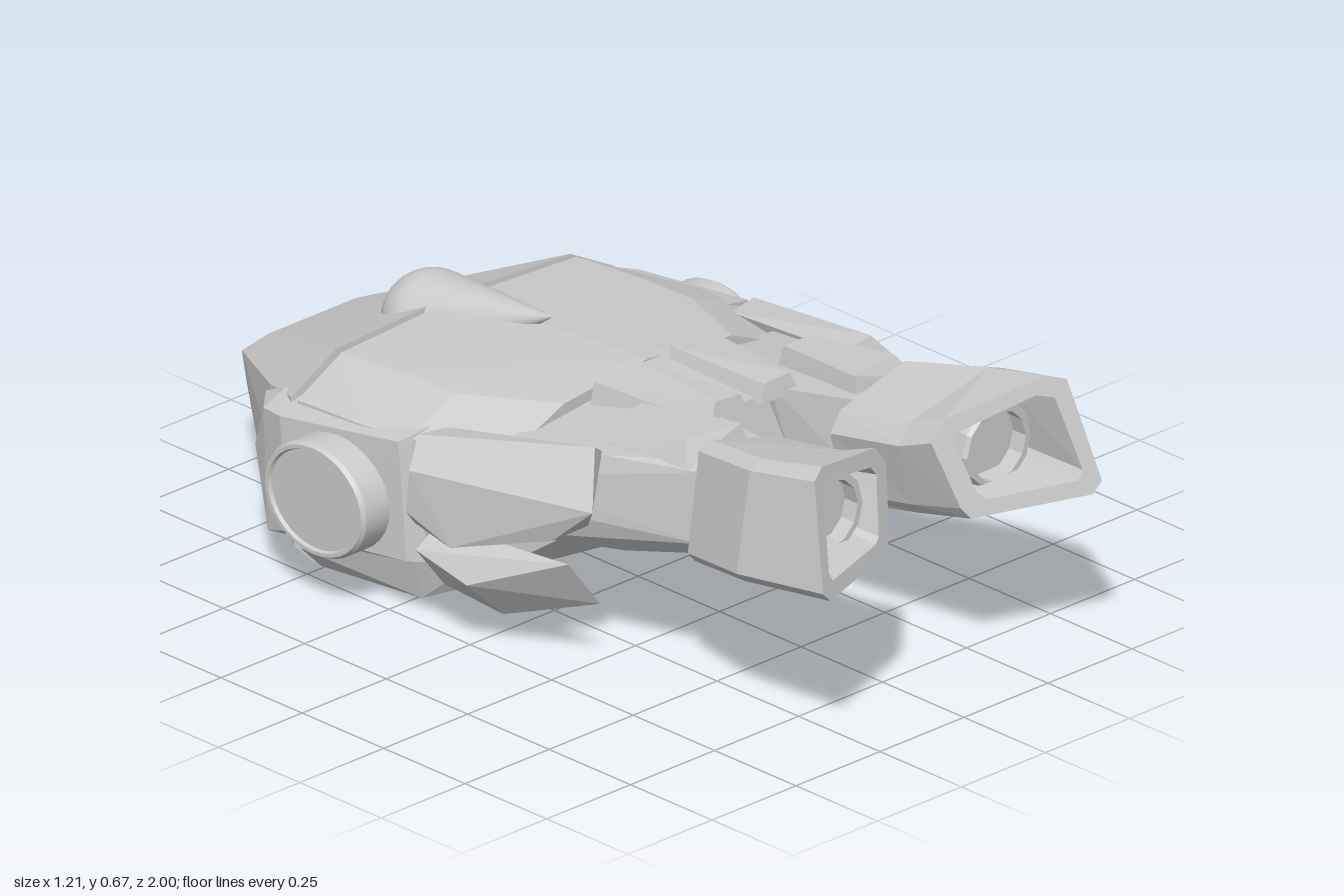
import * as THREE from 'three';
import { ConvexGeometry } from 'three/addons/geometries/ConvexGeometry.js';

const V = (x, y, z) => new THREE.Vector3(x, y, z);

export function createModel() {
  const group = new THREE.Group();
  const grey = new THREE.MeshStandardMaterial({ color: 0xcccccc });
  grey.name = 'hull grey';

  const add = (name, geo) => {
    const mesh = new THREE.Mesh(geo, grey);
    mesh.name = name;
    group.add(mesh);
  };

  // Mirror a geometry across x = 0, keeping faces outward
  const mirror = (geo) => {
    const g = (geo.index ? geo.toNonIndexed() : geo.clone()).scale(-1, 1, 1);
    for (const a of Object.values(g.attributes)) {
      const n = a.itemSize;
      for (let i = 0; i < a.count; i += 3) {
        for (let k = 0; k < n; k++) {
          const p = (i + 1) * n + k, q = (i + 2) * n + k, t = a.array[p];
          a.array[p] = a.array[q];
          a.array[q] = t;
        }
      }
    }
    return g;
  };
  const pair = (name, geo) => {
    add(name + 'Left', geo);
    add(name + 'Right', mirror(geo));
  };
  const hull = (pts) => new ConvexGeometry(pts.map((p) => V(...p)));
  const bothSides = (pts) => pts.flatMap(([x, y, z]) => [[x, y, z], [-x, y, z]]);

  // Rings running counter-clockwise seen from +z, joined and capped
  const loft = (rings) => {
    const pos = [];
    const tri = (...ps) => ps.forEach((p) => pos.push(...p));
    const n = rings[0].length;
    for (let i = 0; i < rings.length - 1; i++) {
      for (let j = 0; j < n; j++) {
        const k = (j + 1) % n, a = rings[i], b = rings[i + 1];
        tri(a[j], a[k], b[k]);
        tri(a[j], b[k], b[j]);
      }
    }
    const last = rings[rings.length - 1];
    for (let j = 1; j < n - 1; j++) {
      tri(rings[0][0], rings[0][j + 1], rings[0][j]);
      tri(last[0], last[j], last[j + 1]);
    }
    const g = new THREE.BufferGeometry();
    g.setAttribute('position', new THREE.Float32BufferAttribute(pos, 3));
    g.computeVertexNormals();
    return g;
  };

  // Main body: two faceted shells with a narrow seam between them
  const seam = (z) => [[0, 0.478, z], [0.35, 0.46, z], [0.48, 0.39, z], [0.5, 0.24, z],
    [0.49, 0.05, z + 0.02], [0.45, 0.003, z + 0.04], [0, 0.012, z + 0.04]];
  add('rearShell', hull(bothSides([
    ...seam(-0.57),
    [0.3, 0.385, -0.72], [0.39, 0.34, -0.73], [0.42, 0.22, -0.7], [0.4, 0.06, -0.72],
    [0.13, 0.284, -1], [0.21, 0.27, -1], [0.21, 0.2, -0.985], [0.2, 0.11, -0.97],
  ])));
  add('frontShell', hull(bothSides([
    ...seam(-0.55),
    [0, 0.495, -0.35], [0.35, 0.475, -0.35], [0.5, 0.41, -0.33], [0.51, 0.25, -0.33],
    [0.35, 0.48, -0.2], [0.49, 0.42, -0.2], [0.5, 0.25, -0.2], [0.45, 0.03, -0.2],
    [0, 0.525, 0.03], [0.25, 0.5, 0.03], [0.43, 0.42, 0.03], [0.44, 0.33, 0.03],
    [0.44, 0.2, 0.0], [0.38, 0.14, 0.03],
  ])));
  add('seamCore', hull(bothSides([-0.6, -0.5].flatMap((z) =>
    [[0.34, 0.44, z], [0.46, 0.37, z], [0.48, 0.24, z], [0.42, 0.03, z]]))));

  // Neck block between the arms, flaring back into the belly
  add('neck', hull(bothSides([
    [0.1, 0.31, 0.36], [0.11, 0.345, 0.37], [0.06, 0.525, 0.33], [0.06, 0.52, 0],
    [0.42, 0.34, 0.03], [0.34, 0.3, 0.2], [0.19, 0.09, -0.06], [0.44, 0.12, -0.05], [0.15, 0.25, 0.26],
  ])));

  // Teardrop fairing on the back, its tip floating above the shell
  const drop = [[0, -0.113]];
  for (let i = 1; i <= 9; i++) {
    const t = -Math.PI / 2 + (i / 9) * (Math.PI / 2 + 0.25);
    drop.push([0.113 * Math.cos(t), 0.113 * Math.sin(t)]);
  }
  drop.push([0.06, 0.2], [0, 0.392]);
  const tear = new THREE.LatheGeometry(drop.map((p) => new THREE.Vector2(...p)), 28);
  tear.applyQuaternion(new THREE.Quaternion().setFromUnitVectors(V(0, 1, 0), V(0, 0.13, 0.37).normalize()));
  tear.translate(0, 0.398, -0.63);
  add('teardropFairing', tear);

  // Arms
  pair('arm', hull([
    [0.12, 0.22, -0.02], [0.42, 0.24, -0.02], [0.44, 0.38, 0], [0.41, 0.45, 0], [0.1, 0.485, 0],
    [0.11, 0.325, 0.36], [0.14, 0.27, 0.3], [0.33, 0.27, 0.3], [0.39, 0.35, 0.28],
    [0.37, 0.5, 0.28], [0.09, 0.525, 0.32],
    [0.14, 0.36, 0.55], [0.17, 0.335, 0.55], [0.3, 0.335, 0.55], [0.34, 0.37, 0.55],
    [0.33, 0.53, 0.53], [0.3, 0.548, 0.53], [0.14, 0.548, 0.53],
  ]));
  pair('armTopPlate', hull([
    [0.2, 0.5, 0.22], [0.33, 0.5, 0.22], [0.21, 0.555, 0.23], [0.29, 0.555, 0.23],
    [0.16, 0.54, 0.5], [0.34, 0.53, 0.5], [0.17, 0.582, 0.49], [0.31, 0.58, 0.47],
  ]));
  pair('neckPlate', hull([
    [0.03, 0.49, 0.05], [0.19, 0.48, 0.05], [0.05, 0.545, 0.05], [0.18, 0.535, 0.05],
    [0.02, 0.52, 0.36], [0.13, 0.52, 0.36], [0.035, 0.56, 0.35], [0.11, 0.565, 0.35],
  ]));

  // Slanted armour panels on the outside of the arms
  pair('upperPanel', hull([
    [0.41, 0.535, 0.29], [0.49, 0.43, 0.365], [0.45, 0.37, 0.31], [0.36, 0.5, 0.26],
    [0.42, 0.44, -0.15], [0.5, 0.445, -0.16], [0.575, 0.4, -0.11], [0.575, 0.3, -0.12],
    [0.54, 0.26, -0.13], [0.56, 0.25, 0.0], [0.5, 0.33, 0.25], [0.46, 0.28, -0.1],
  ]));
  pair('lowerPanel', hull([
    [0.46, 0.265, 0.26], [0.385, 0.155, 0.28], [0.45, 0.075, 0.05], [0.54, 0.165, 0.03],
    [0.49, 0.25, -0.11], [0.545, 0.2, -0.12], [0.42, 0.12, -0.1], [0.5, 0.12, -0.08],
  ]));

  // Side pods with round caps
  pair('sidePod', hull([
    [0.52, 0.42, -0.2], [0.535, 0.37, -0.55], [0.515, 0.36, -0.62], [0.49, 0.25, -0.67],
    [0.52, 0.08, -0.6], [0.55, 0.12, -0.5], [0.525, 0.15, -0.17],
    [0.44, 0.44, -0.18], [0.44, 0.38, -0.63], [0.42, 0.34, -0.71], [0.42, 0.25, -0.72],
    [0.42, 0.06, -0.66], [0.43, 0.06, -0.5], [0.43, 0.13, -0.13],
  ]));
  const capProfile = [[0.155, 0.49], [0.155, 0.595], [0.148, 0.605], [0.138, 0.605], [0.134, 0.597], [0, 0.597]];
  const cap = new THREE.LatheGeometry(
    capProfile.flatMap((p) => [p, p]).slice(1, -1).map((p) => new THREE.Vector2(...p)), 32);
  cap.rotateZ(-Math.PI / 2).scale(1, 0.84, 1).translate(0, 0.25, -0.375);
  pair('sideCap', cap);

  // Blaster housings: slanted mouth, tapering inside to a flat floor
  const outer = [[0.125, 0.395], [0.39, 0.4], [0.415, 0.425], [0.376, 0.655],
    [0.334, 0.67], [0.103, 0.616], [0.067, 0.57], [0.107, 0.42]];
  const inner = [[0.165, 0.43], [0.365, 0.435], [0.378, 0.456], [0.344, 0.62],
    [0.305, 0.632], [0.135, 0.586], [0.116, 0.563], [0.148, 0.44]];
  const mouth = (x, y) => 1 - (0.41 - x) * 0.38 - (y - 0.4) * 0.23;
  pair('blasterHousing', loft([
    outer.map(([x, y]) => [(x - 0.07) * 0.83 + 0.07, y - 0.08, 0.52]),
    outer.map(([x, y]) => [x, y - 0.04, 0.73]),
    outer.map(([x, y]) => [x, y, mouth(x, y)]),
    inner.map(([x, y]) => [x, y, mouth(x, y)]),
    inner.map(([x, y]) => [0.25 + (x - 0.25) * 0.88, 0.515 + (y - 0.515) * 0.88, 0.79]),
  ]));

  // Barrel ring and lens inside each housing
  const ringPts = [[0.08, 0.74], [0.1, 0.74], [0.1, 0.84], [0.094, 0.85], [0.08, 0.85], [0.08, 0.74]];
  const ring = new THREE.LatheGeometry(ringPts.map((p) => new THREE.Vector2(...p)), 12).toNonIndexed();
  ring.computeVertexNormals();
  ring.rotateX(Math.PI / 2).translate(0.25, 0.511, 0);
  pair('barrelRing', ring);
  const lens = new THREE.CylinderGeometry(0.082, 0.082, 0.07, 24);
  lens.rotateX(Math.PI / 2).translate(0.25, 0.511, 0.775);
  pair('lens', lens);

  return group;
}
